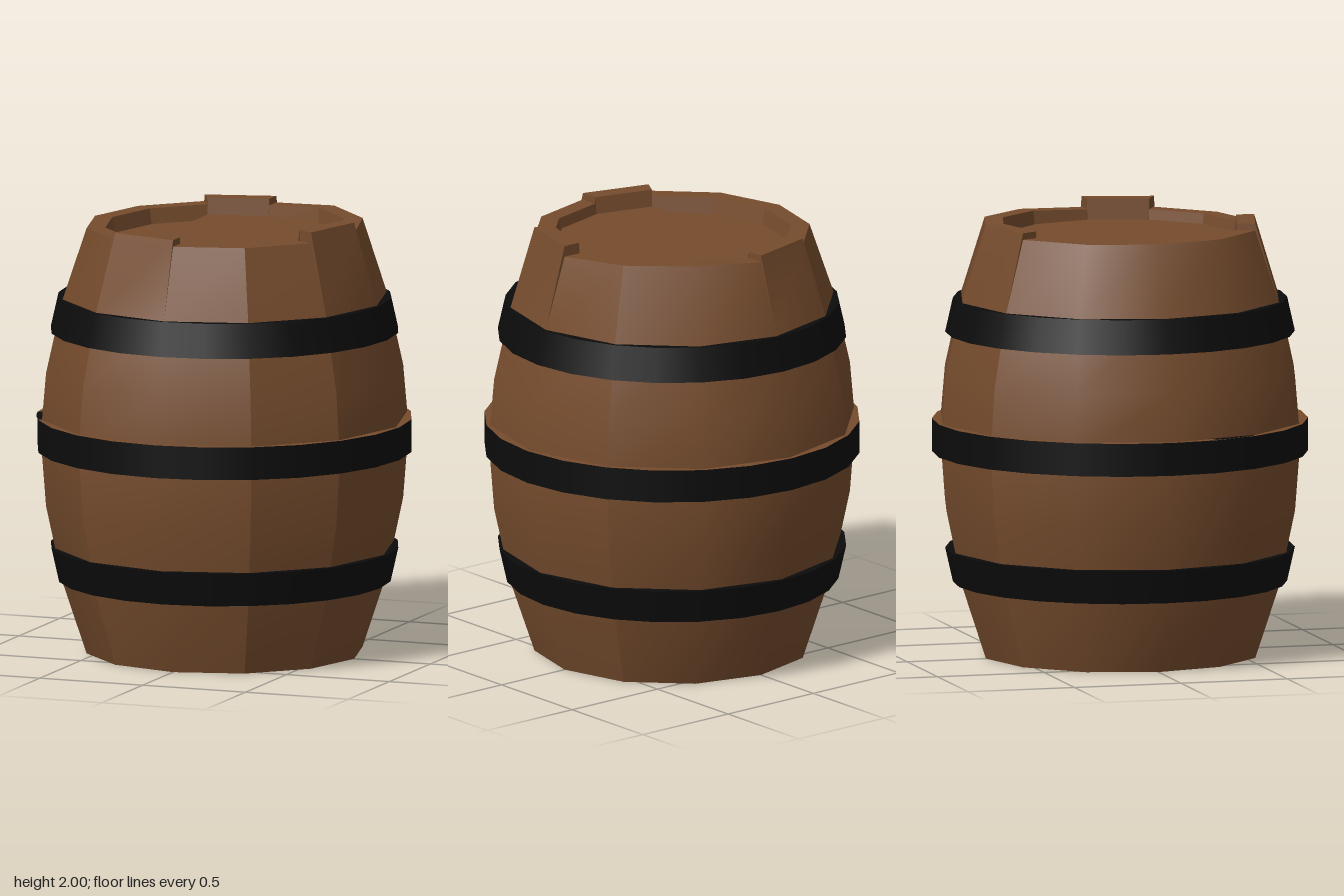
import * as THREE from 'three';
import { mergeVertices } from 'three/addons/utils/BufferGeometryUtils.js';

const SIDES = 12;
// outer profile below the rim: [radius, height]
const PROFILE = [[0.63, 0], [0.74, 0.33], [0.815, 0.68], [0.84, 1.0], [0.815, 1.29], [0.74, 1.625]];
const RIM = 0.63, INNER = 0.545, LID = 0.53;

// uneven rim heights of a stave at its two edges
const HEIGHTS = { 2: [2, 2], 3: [1.95, 1.965], 4: [1.965, 1.97], 5: [1.97, 1.95], 6: [1.98, 1.98], 11: [1.98, 1.98] };
const heights = (k) => HEIGHTS[k % SIDES] || [1.95, 1.95];

// point on the barrel at stave edge k
function at(k, r, y) {
  const a = (k / SIDES) * Math.PI * 2;
  return [Math.sin(a) * r, y, Math.cos(a) * r];
}

function quad(out, a, b, c, d) {
  out.push(...a, ...b, ...c, ...a, ...c, ...d);
}

function toGeometry(positions, smooth) {
  let g = new THREE.BufferGeometry();
  g.setAttribute('position', new THREE.Float32BufferAttribute(positions, 3));
  if (smooth) g = mergeVertices(g, 1e-4);
  g.computeVertexNormals();
  return g;
}

export function createModel() {
  const group = new THREE.Group();
  const wood = new THREE.MeshStandardMaterial({ color: 0x764c2d, side: THREE.DoubleSide });
  wood.name = 'brown wood';
  const iron = new THREE.MeshStandardMaterial({ color: 0x0c0c0c });
  iron.name = 'black iron';

  const add = (name, geometry, material, y = 0) => {
    const mesh = new THREE.Mesh(geometry, material);
    mesh.name = name;
    mesh.position.y = y;
    group.add(mesh);
    return mesh;
  };

  // outer staves, in smooth sections with a crease between them
  for (const [first, count] of [[1, 1], [2, 2], [4, 3], [7, 4], [11, 2]]) {
    const p = [];
    for (let k = first; k < first + count; k++) {
      const [ha, hb] = heights(k);
      const left = [...PROFILE, [RIM, ha]], right = [...PROFILE, [RIM, hb]];
      for (let i = 0; i < PROFILE.length; i++) {
        quad(p, at(k, ...left[i]), at(k + 1, ...right[i]), at(k + 1, ...right[i + 1]), at(k, ...left[i + 1]));
      }
    }
    add('staves', toGeometry(p, true), wood);
  }

  // stave ends, recess walls and the steps between uneven staves
  const rim = [], base = [];
  for (let k = 0; k < SIDES; k++) {
    const [ha, hb] = heights(k), next = heights(k + 1)[0];
    quad(rim, at(k, RIM, ha), at(k + 1, RIM, hb), at(k + 1, INNER, hb), at(k, INNER, ha));
    quad(rim, at(k + 1, LID, 1.87), at(k, LID, 1.87), at(k, INNER, ha), at(k + 1, INNER, hb));
    if (hb !== next) {
      quad(rim, at(k + 1, INNER, next), at(k + 1, RIM, next), at(k + 1, RIM, hb), at(k + 1, INNER, hb));
      rim.push(...at(k + 1, RIM, next), ...at(k + 1, RIM, hb), ...at(k + 1, 0.74, 1.625));
    }
    quad(base, at(k, INNER, 0), at(k + 1, INNER, 0), at(k + 1, RIM, 0), at(k, RIM, 0));
    quad(base, at(k + 1, INNER, 0), at(k, INNER, 0), at(k, LID, 0.06), at(k + 1, LID, 0.06));
  }
  add('topRim', toGeometry(rim, false), wood);
  add('bottomRim', toGeometry(base, false), wood);

  // top lid in two boards, the smaller one sunk a little
  const board = (name, from, to, top) => {
    const pts = [];
    for (let k = from; k <= to; k++) {
      const [x, , z] = at(k, LID, 0);
      pts.push(new THREE.Vector2(x, -z));
    }
    const g = new THREE.ExtrudeGeometry(new THREE.Shape(pts), { depth: 0.1, bevelEnabled: false });
    add(name, g.rotateX(-Math.PI / 2), wood, top - 0.1);
  };
  board('lidMainBoard', -1, 7, 1.905);
  board('lidSideBoard', 7, 11, 1.88);

  add('bottomLid', new THREE.CylinderGeometry(LID, LID, 0.04, SIDES), wood, 0.08);

  // iron hoops
  const hoop = (name, rTop, rBottom, y, h, materials) =>
    add(name, new THREE.CylinderGeometry(rTop, rBottom, h, 24), materials, y);
  hoop('upperHoop', 0.755, 0.79, 1.548, 0.155, iron);
  hoop('lowerHoop', 0.79, 0.755, 0.408, 0.155, iron);
  hoop('middleHoop', 0.85, 0.85, 1.0, 0.15, [iron, wood, iron]);

  // exposed iron patch on the middle hoop's upper edge
  const patch = new THREE.RingGeometry(0.79, 0.85, 1, 1, Math.PI * 13 / 12, Math.PI / 12);
  add('hoopPatch', patch.rotateX(-Math.PI / 2), iron, 1.077);

  return group;
}
